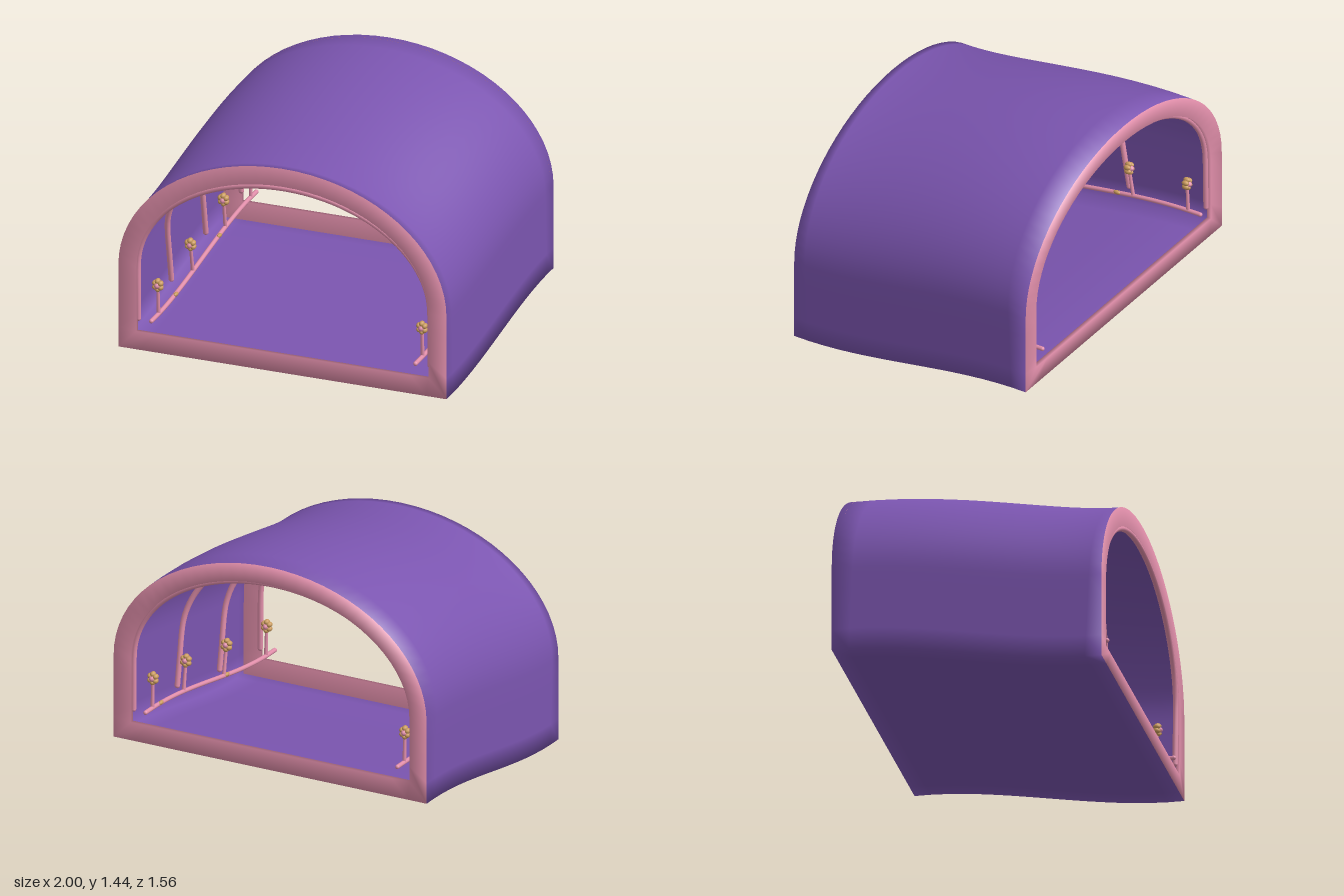
import * as THREE from 'three';

const HALF = 0.78;                       // half the tunnel depth
const purple = new THREE.MeshStandardMaterial({ name: 'purpleShell', color: 0x7b55b0, side: THREE.DoubleSide });
const pink = new THREE.MeshStandardMaterial({ name: 'pinkTrim', color: 0xe28fab });
const tan = new THREE.MeshStandardMaterial({ name: 'tanPetal', color: 0xc99a5c });

// The tunnel follows a path rising gently by 0.2 from front to back
const lift = (z) => 0.2 * THREE.MathUtils.smoothstep(-z, -HALF, HALF);

// Cross-sections lean forward to stay square to the path
function lean(z) {
  const t = (HALF - z) / (2 * HALF);
  return Math.atan((0.2 * 6 * t * (1 - t)) / (2 * HALF));
}

// Point of a cross-section standing on the path at z
function place(x, y, z) {
  const a = lean(z);
  return new THREE.Vector3(x, lift(z) + y * Math.cos(a), z + y * Math.sin(a));
}

// Arch points from right to left over the top
function arch(halfWidth, spring, top, steps) {
  return Array.from({ length: steps + 1 }, (_, i) => {
    const a = (i / steps) * Math.PI;
    return new THREE.Vector2(halfWidth * Math.cos(a), spring + (top - spring) * Math.sin(a));
  });
}

// Closed outline, anticlockwise: floor, wall, half ellipse, wall
function outline(halfWidth, bottom, top) {
  const spring = 0.5, floorSteps = 16, wallSteps = 4, pts = [];
  for (let i = 0; i < floorSteps; i++) {
    pts.push(new THREE.Vector2(halfWidth * ((2 * i) / floorSteps - 1), bottom));
  }
  for (let i = 0; i < wallSteps; i++) {
    pts.push(new THREE.Vector2(halfWidth, bottom + ((spring - bottom) * i) / wallSteps));
  }
  pts.push(...arch(halfWidth, spring, top, 36));
  for (let i = wallSteps - 1; i > 0; i--) {
    pts.push(new THREE.Vector2(-halfWidth, bottom + ((spring - bottom) * i) / wallSteps));
  }
  return pts;
}

// Thin skin with a flat frame at each end, as one smooth sweep
function tunnelShell() {
  const outer = outline(1, 0, 1.243);
  const inner = outline(0.89, 0.11, 1.133);
  const n = outer.length, slices = 16, lip = HALF - 0.025;
  const rings = [[outer, lip], [inner, lip], [inner, HALF]];
  for (let k = 0; k <= slices; k++) rings.push([outer, HALF - (2 * HALF * k) / slices]);
  rings.push([inner, -HALF], [inner, -lip], [outer, -lip]);

  const positions = [], skin = [], frames = [];
  for (const [line, z] of rings) {
    for (const p of line) positions.push(...place(p.x, p.y, z).toArray());
  }
  for (let j = 0; j < rings.length - 1; j++) {
    const target = j < 3 || j >= slices + 3 ? frames : skin;
    for (let i = 0; i < n; i++) {
      const i2 = (i + 1) % n;
      const a = j * n + i, b = j * n + i2, c = b + n, d = a + n;
      target.push(a, d, b, d, c, b);
    }
  }
  const geo = new THREE.BufferGeometry();
  geo.setAttribute('position', new THREE.Float32BufferAttribute(positions, 3));
  geo.setIndex([...skin, ...frames]);
  geo.addGroup(0, skin.length, 0);
  geo.addGroup(skin.length, frames.length, 1);
  geo.computeVertexNormals();
  const mesh = new THREE.Mesh(geo, [purple, pink]);
  mesh.name = 'tunnelShell';
  return mesh;
}

function ball(name, radius, material, x, y, z) {
  const mesh = new THREE.Mesh(new THREE.SphereGeometry(radius, 10, 8), material);
  mesh.name = name;
  mesh.position.set(x, y, z);
  return mesh;
}

// Round rod along a path, with rounded ends
function rod(name, points, radius, segments) {
  const group = new THREE.Group();
  group.name = name;
  const curve = new THREE.CatmullRomCurve3(points);
  group.add(new THREE.Mesh(new THREE.TubeGeometry(curve, segments, radius, 10), pink));
  for (const p of [points[0], points[points.length - 1]]) {
    group.add(ball('rodEnd', radius, pink, p.x, p.y, p.z));
  }
  return group;
}

// Stand a group on the path, leaning with it
function stand(group, x, z) {
  group.position.set(x, lift(z), z);
  group.rotation.x = lean(z);
  return group;
}

// Arched rib inside the skin
function rib(z) {
  const points = [[0.89, 0.18], [0.89, 0.34], ...arch(0.89, 0.5, 1.118, 28).map((p) => [p.x, p.y]),
    [-0.89, 0.34], [-0.89, 0.18]].map(([x, y]) => new THREE.Vector3(x, y, 0));
  return stand(rod('rib', points, 0.016, 80), 0, z);
}

// Flower on a stem: pink heart with a ring of tan petals
function flower(x, z) {
  const group = new THREE.Group();
  group.name = 'flower';
  const stem = new THREE.Mesh(new THREE.CylinderGeometry(0.009, 0.011, 0.18, 10), pink);
  stem.name = 'stem';
  stem.position.y = 0.265;
  group.add(stem);
  const heart = ball('flowerHeart', 0.02, pink, 0, 0.36, 0);
  heart.scale.z = 1.6;
  group.add(heart);
  for (let i = 0; i < 6; i++) {
    const a = (i / 6) * Math.PI * 2 + Math.PI / 6;
    const petal = ball('petal', 0.016, tan, 0.02 * Math.cos(a), 0.36 + 0.025 * Math.sin(a), 0);
    petal.scale.z = 1.4;
    group.add(petal);
  }
  return stand(group, x, z);
}

export function createModel() {
  const model = new THREE.Group();
  model.name = 'archedTunnel';
  model.add(tunnelShell());
  for (const z of [0.75, 0.24, -0.26, -0.75]) model.add(rib(z));

  // Flower rail along each wall
  for (const side of [-1, 1]) {
    const x = side * 0.805;
    const points = [];
    for (let i = 0; i <= 12; i++) points.push(place(x, 0.18, 0.765 - (1.53 * i) / 12));
    model.add(rod(side < 0 ? 'rightRail' : 'leftRail', points, 0.013, 36));
    for (const z of [0.65, 0.13, -0.34, -0.69]) model.add(flower(x, z));
    // Small leaves on the rail
    for (const z of side < 0 ? [0.4, -0.24] : [0.15, -0.61]) {
      const p = place(x - side * 0.008, 0.187, z);
      const leaf = ball('leaf', 0.012, tan, p.x, p.y, p.z);
      leaf.scale.z = 2;
      model.add(leaf);
    }
  }
  return model;
}
